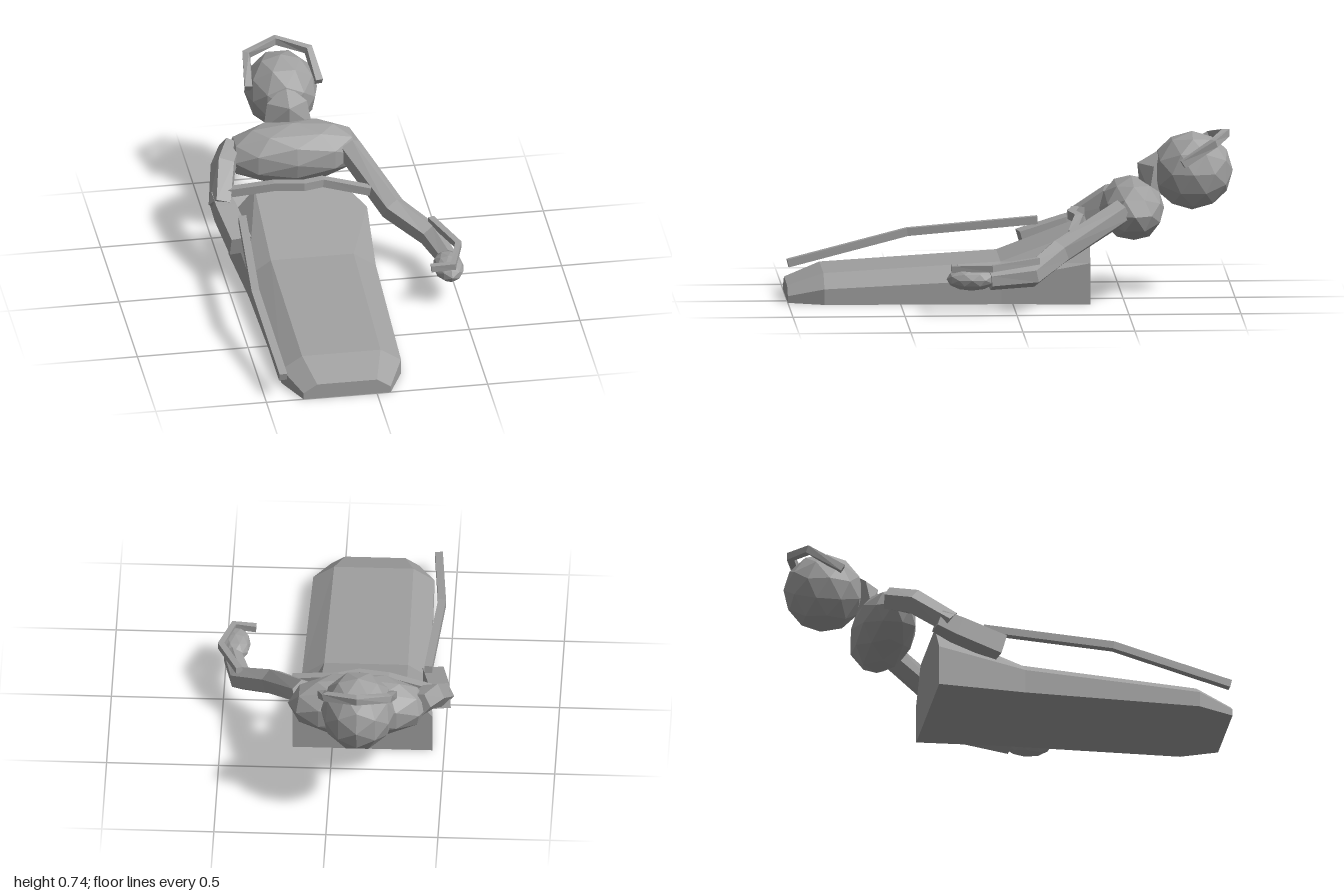
import * as THREE from 'three';
import { ConvexGeometry } from 'three/addons/geometries/ConvexGeometry.js';

const V = (p) => new THREE.Vector3(...p);

// Flat-faced skin over a list of equal-length rings, with both ends capped
function loft(rings) {
  const pos = [];
  const tri = (a, b, c) => [a, b, c].forEach((p) => pos.push(p.x, p.y, p.z));
  const n = rings[0].length;
  for (let i = 0; i < rings.length - 1; i++) {
    for (let j = 0; j < n; j++) {
      const k = (j + 1) % n;
      tri(rings[i][j], rings[i][k], rings[i + 1][k]);
      tri(rings[i][j], rings[i + 1][k], rings[i + 1][j]);
    }
  }
  const first = rings[0], last = rings[rings.length - 1];
  for (let j = 1; j < n - 1; j++) {
    tri(first[0], first[j + 1], first[j]);
    tri(last[0], last[j], last[j + 1]);
  }
  const g = new THREE.BufferGeometry();
  g.setAttribute('position', new THREE.Float32BufferAttribute(pos, 3));
  g.computeVertexNormals();
  return g;
}

// Angular limb or rod through the points; one radius per point
function rod(points, radii, sides = 4) {
  const pts = points.map(V);
  const up = new THREE.Vector3(0, 1, 0);
  return loft(pts.map((p, i) => {
    const t = new THREE.Vector3();
    if (i > 0) t.add(p.clone().sub(pts[i - 1]).normalize());
    if (i < pts.length - 1) t.add(pts[i + 1].clone().sub(p).normalize());
    t.normalize();
    const u = up.clone().cross(t).normalize();
    const v = t.clone().cross(u);
    const r = Array.isArray(radii) ? radii[i] : radii;
    return Array.from({ length: sides }, (_, j) => {
      const a = ((j + 0.5) / sides) * Math.PI * 2;
      return p.clone().addScaledVector(u, Math.cos(a) * r).addScaledVector(v, Math.sin(a) * r);
    });
  }));
}

// Faceted ellipsoid
function blob(center, radii) {
  return new THREE.IcosahedronGeometry(1, 1).scale(...radii).translate(...center);
}

export function createModel() {
  const group = new THREE.Group();
  const grey = new THREE.MeshStandardMaterial({ color: 0xa0a0a0, flatShading: true });
  grey.name = 'grey';
  const add = (name, geometry) => {
    const mesh = new THREE.Mesh(geometry, grey);
    mesh.name = name;
    group.add(mesh);
  };

  // Tapered lower body: z, half width, side height, half width of top, top height
  const cx = -0.135;
  const sections = [
    [-0.345, 0.313, 0.185, 0.195, 0.325],
    [0.05, 0.287, 0.11, 0.187, 0.178],
    [0.84, 0.27, 0.07, 0.177, 0.13],
    [1.0, 0.197, 0.03, 0.135, 0.07],
  ];
  add('lowerBody', loft(sections.map(([z, w, h, t, top]) => [
    [w, 0], [w, h], [t, top], [-t, top], [-w, h], [-w, 0],
  ].map(([x, y]) => V([cx + x, y, z])))));

  // Shoulders, fuller towards the ends than a plain ellipsoid
  const chest = new THREE.IcosahedronGeometry(1, 1);
  const p = chest.attributes.position;
  for (let i = 0; i < p.count; i++) {
    const x = p.getX(i);
    p.setX(i, Math.sign(x) * Math.pow(Math.abs(x), 0.85));
  }
  chest.scale(0.315, 0.14, 0.145).translate(-0.125, 0.39, -0.545);
  chest.computeVertexNormals();
  add('shoulders', chest);

  // Head, with a faceted neck and chin in front
  add('head', blob([cx, 0.555, -0.815], [0.165, 0.177, 0.182]));
  add('neckAndChin', new ConvexGeometry([
    [-0.11, 0.47, -0.62], [0.11, 0.47, -0.62], [-0.09, 0.585, -0.64], [0.09, 0.585, -0.64],
    [0, 0.59, -0.57], [0, 0.655, -0.68], [0, 0.49, -0.58], [0, 0.45, -0.68],
  ].map(([x, y, z]) => V([cx + x, y, z]))));

  // Band over the head
  add('headBand', rod([
    [cx - 0.155, 0.605, -0.755], [cx - 0.14, 0.695, -0.905], [cx, 0.722, -0.965],
    [cx + 0.14, 0.695, -0.905], [cx + 0.165, 0.605, -0.765],
  ], 0.024));

  // Left arm, hand and the bent rod it holds
  add('leftArm', rod([
    [0.12, 0.41, -0.49], [0.27, 0.25, -0.2], [0.42, 0.17, -0.07], [0.465, 0.155, 0.12],
  ], [0.058, 0.06, 0.055, 0.045], 6));
  add('leftHand', blob([0.455, 0.16, 0.2], [0.068, 0.053, 0.112]));
  add('leftHandRod', rod([
    [0.365, 0.2, 0.272], [0.465, 0.205, 0.278], [0.515, 0.215, 0.11], [0.425, 0.235, -0.1],
  ], 0.021));

  // Right arm, bent outwards at the elbow
  add('rightUpperArm', rod([
    [-0.4, 0.42, -0.57], [-0.45, 0.39, -0.46], [-0.49, 0.28, -0.3],
  ], [0.055, 0.06, 0.055], 5));
  add('rightForearm', rod([
    [-0.49, 0.29, -0.36], [-0.475, 0.26, -0.27], [-0.44, 0.2, -0.065],
  ], [0.055, 0.065, 0.066]));

  // Long stick beside the body and bar across the waist
  add('longStick', rod([
    [-0.42, 0.295, -0.14], [-0.457, 0.24, 0.44], [-0.42, 0.108, 0.975],
  ], 0.025));
  add('waistBar', rod([
    [-0.45, 0.325, -0.335], [-0.25, 0.36, -0.3], [-0.12, 0.36, -0.278],
    [-0.03, 0.357, -0.305], [0.18, 0.315, -0.265],
  ], 0.027));

  return group;
}
